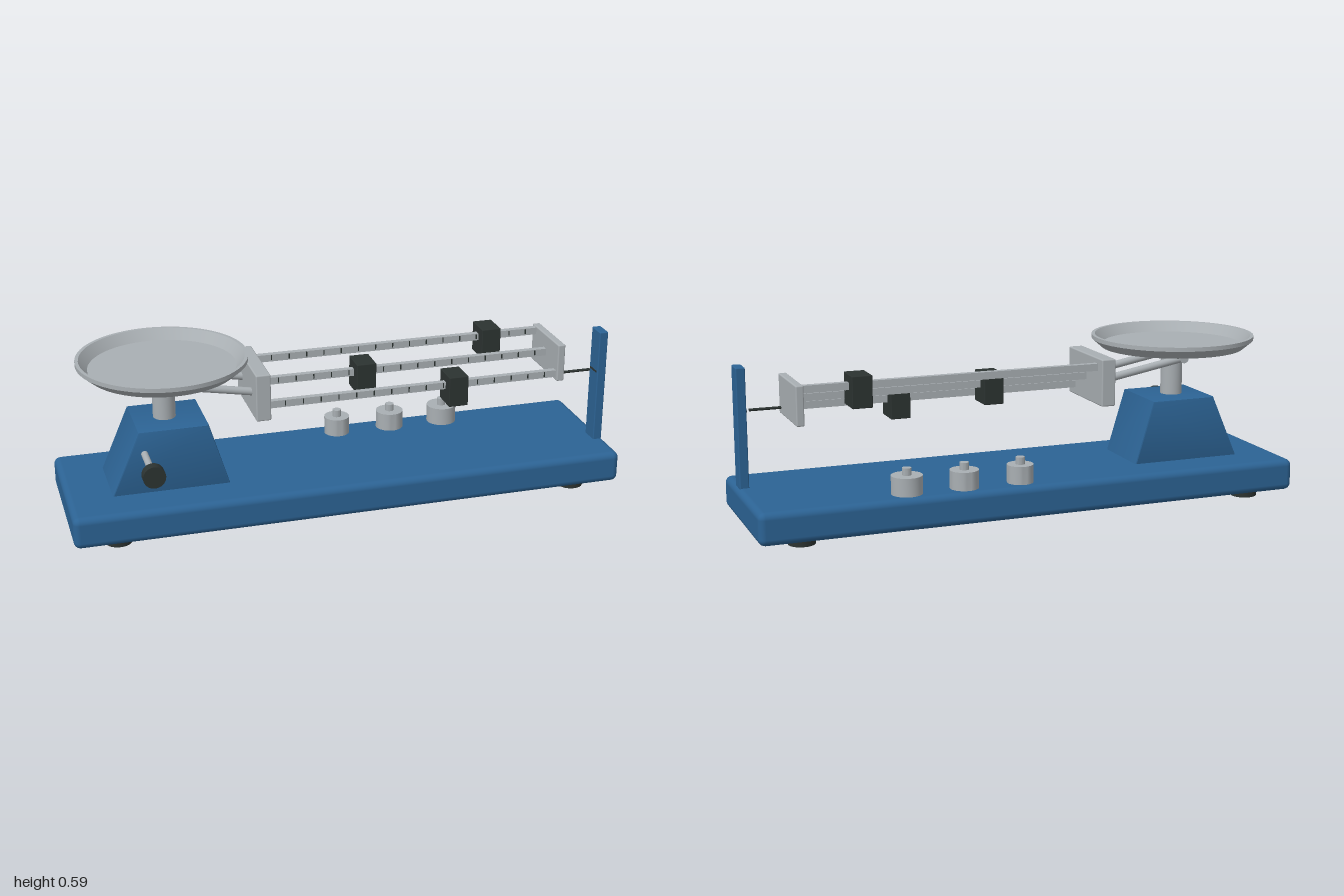
import * as THREE from 'three';
import { toCreasedNormals } from 'three/addons/utils/BufferGeometryUtils.js';
import { RoundedBoxGeometry } from 'three/addons/geometries/RoundedBoxGeometry.js';

const ZC = -0.0125; // centre line of the base

function material(name, color) {
  const m = new THREE.MeshStandardMaterial({ color });
  m.name = name;
  return m;
}

export function createModel() {
  const model = new THREE.Group();
  model.name = 'beamBalance';
  const blue = material('blue paint', 0x2c6394);
  const metal = material('brushed metal', 0xa9afb3);
  const dark = material('dark rubber', 0x2c3331);

  function add(name, geometry, mat, x = 0, y = 0, z = 0) {
    const mesh = new THREE.Mesh(geometry, mat);
    mesh.name = name;
    mesh.position.set(x, y, z);
    model.add(mesh);
    return mesh;
  }
  // Box given by its limits, optionally rounded
  function box(name, mat, [x0, x1], [y0, y1], [z0, z1], r = 0) {
    const s = [x1 - x0, y1 - y0, z1 - z0];
    const g = r ? new RoundedBoxGeometry(...s, 3, r) : new THREE.BoxGeometry(...s);
    return add(name, g, mat, (x0 + x1) / 2, (y0 + y1) / 2, (z0 + z1) / 2);
  }
  // Cylinder between two points
  function rod(name, mat, a, b, r, sides = 24) {
    const p = new THREE.Vector3(...a), q = new THREE.Vector3(...b);
    const d = q.clone().sub(p);
    const mesh = add(name, new THREE.CylinderGeometry(r, r, d.length(), sides), mat);
    mesh.position.copy(p).add(q).multiplyScalar(0.5);
    mesh.quaternion.setFromUnitVectors(new THREE.Vector3(0, 1, 0), d.normalize());
    return mesh;
  }
  function lathe(name, mat, profile, x, z, sides) {
    const g = new THREE.LatheGeometry(profile.map(p => new THREE.Vector2(...p)), sides);
    return add(name, toCreasedNormals(g, 0.5), mat, x, 0, z);
  }

  // Base with four feet
  box('base', blue, [-1, 1], [0.022, 0.137], [-0.287, 0.262], 0.024);
  for (const x of [-0.84, 0.84])
    for (const z of [-0.208, 0.184])
      rod('foot', dark, [x, 0, z], [x, 0.03, z], 0.047, 32);

  // Tapered pedestal, lightly bevelled
  const b = 0.006;
  const side = new THREE.Shape([
    [-0.837, 0.137], [-0.433, 0.137], [-0.501, 0.359], [-0.739, 0.359],
  ].map(p => new THREE.Vector2(...p)));
  const pedestal = new THREE.ExtrudeGeometry(side, {
    depth: 0.251 - 2 * b, bevelSize: b, bevelThickness: b, bevelSegments: 2,
  });
  add('pedestal', toCreasedNormals(pedestal, 0.6), blue, 0, 0, -0.138 + b);

  // Column, pan and pivot
  rod('column', metal, [-0.63, 0.36, ZC], [-0.63, 0.545, ZC], 0.04, 32);
  lathe('pan', metal, [
    [0, 0.542], [0.262, 0.542], [0.298, 0.573], [0.298, 0.588],
    [0.286, 0.588], [0.257, 0.552], [0, 0.552],
  ], -0.63, ZC, 64);
  rod('pivot', metal, [-0.637, 0.508, ZC - 0.09], [-0.637, 0.508, ZC + 0.09], 0.017);
  for (const s of [-1, 1])
    rod('linkArm', metal, [-0.637, 0.508, ZC + s * 0.075], [-0.3, 0.447, ZC + s * 0.075], 0.014);

  // Zero adjustment knob
  rod('knobShaft', metal, [-0.725, 0.284, 0.09], [-0.725, 0.284, 0.28], 0.012);
  rod('knob', dark, [-0.725, 0.284, 0.277], [-0.725, 0.284, 0.312], 0.039, 32);

  // End plates of the beam frame
  box('pivotPlate', metal, [-0.333, -0.28], [0.367, 0.538], [-0.16, 0.137], 0.005);
  box('endPlate', metal, [0.8, 0.828], [0.382, 0.522], [-0.137, 0.109], 0.005);

  // Three stepped beams, each with scale marks and a sliding weight
  const sliderX = [0.605, 0.095, 0.41];
  sliderX.forEach((x, i) => {
    const y = 0.505 - i * 0.0485;
    const z = ZC + (i - 1) * 0.098;
    box('beam', metal, [-0.285, 0.805], [y - 0.013, y + 0.013], [z - 0.011, z + 0.011]);
    for (let k = 0; k < 16; k++) {
      const t = -0.22 + k * 0.065;
      box('scaleMark', dark, [t - 0.002, t + 0.002], [y - 0.007, y + 0.011], [z + 0.0105, z + 0.0135]);
    }
    const cy = 0.489 - i * 0.0465;
    box('slider', dark, [x - 0.036, x + 0.036], [cy - 0.056, cy + 0.056], [z - 0.051, z + 0.051], 0.003);
  });

  // Pointer and reading post
  rod('pointer', dark, [0.82, 0.405, 0.084], [0.94, 0.405, 0.084], 0.005, 12);
  box('post', blue, [0.955, 0.988], [0.13, 0.56], [0.052, 0.122], 0.004);
  box('zeroMark', dark, [0.952, 0.956], [0.402, 0.408], [0.062, 0.112]);

  // Spare weights
  [0.047, 0.051, 0.055].forEach((r, i) => {
    lathe('spareWeight', metal, [
      [0, 0.137], [r, 0.137], [r, 0.202], [0.016, 0.202], [0.016, 0.228], [0, 0.228],
    ], 0.055 + i * 0.2075, -0.212, 32);
  });

  return model;
}
